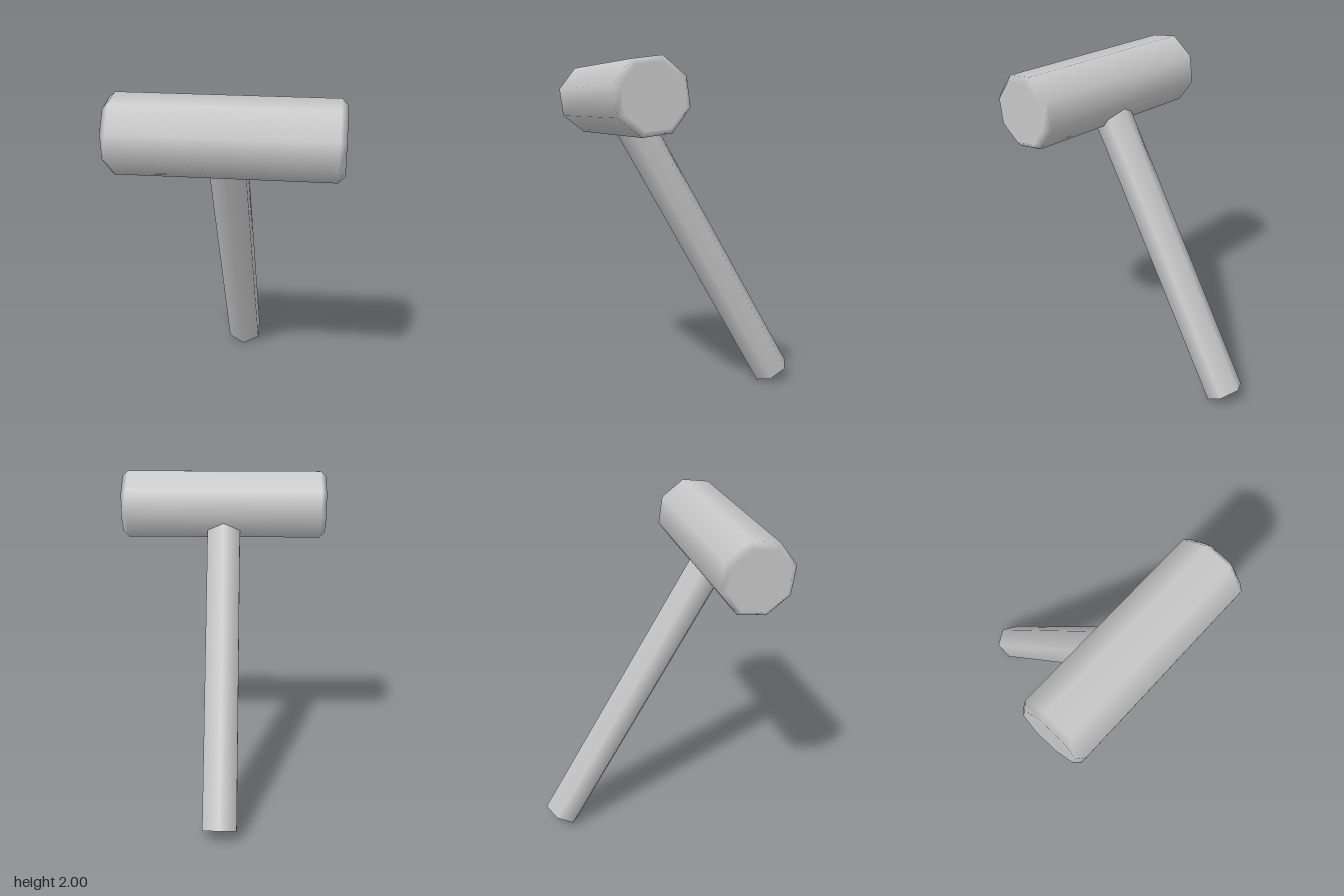
import * as THREE from 'three';

const TILT = Math.PI / 6; // handle leans back 30 degrees

export function createModel() {
  const group = new THREE.Group();
  const grey = new THREE.MeshStandardMaterial({ color: 0xc8c8c8 });
  grey.name = 'grey';

  // Head: octagonal bar with bevelled ends
  const half = 0.625, shoulder = 0.59, radius = 0.217, rim = 0.183;
  const profile = [
    [0, -half], [rim, -half], [radius, -shoulder],
    [radius, shoulder], [rim, half], [0, half],
  ].map(([x, y]) => new THREE.Vector2(x, y));
  const headGeometry = new THREE.LatheGeometry(profile, 8);

  // Flat end faces that blend softly over the bevel into the rounded sides
  const { position, normal } = headGeometry.attributes;
  for (let i = 0; i < position.count; i++) {
    const n = new THREE.Vector3().fromBufferAttribute(position, i);
    if (Math.abs(n.y) > shoulder + 0.01) n.set(0, Math.sign(n.y), 0);
    else n.setY(0).normalize();
    normal.setXYZ(i, n.x, n.y, n.z);
  }
  const head = new THREE.Mesh(headGeometry, grey);
  head.name = 'malletHead';
  head.rotation.set(-Math.PI / 12, 0, -Math.PI / 2);
  head.position.set(0, 1.79, 0.446);
  group.add(head);

  // Handle: smooth-shaded hexagonal rod running into the middle of the head
  const length = 2;
  const handleGeometry = new THREE.CylinderGeometry(0.115, 0.115, length, 6);
  handleGeometry.translate(0, -length / 2, 0);
  const handle = new THREE.Mesh(handleGeometry, grey);
  handle.name = 'handle';
  handle.rotation.x = TILT;
  handle.position.copy(head.position);
  group.add(handle);

  return group;
}
